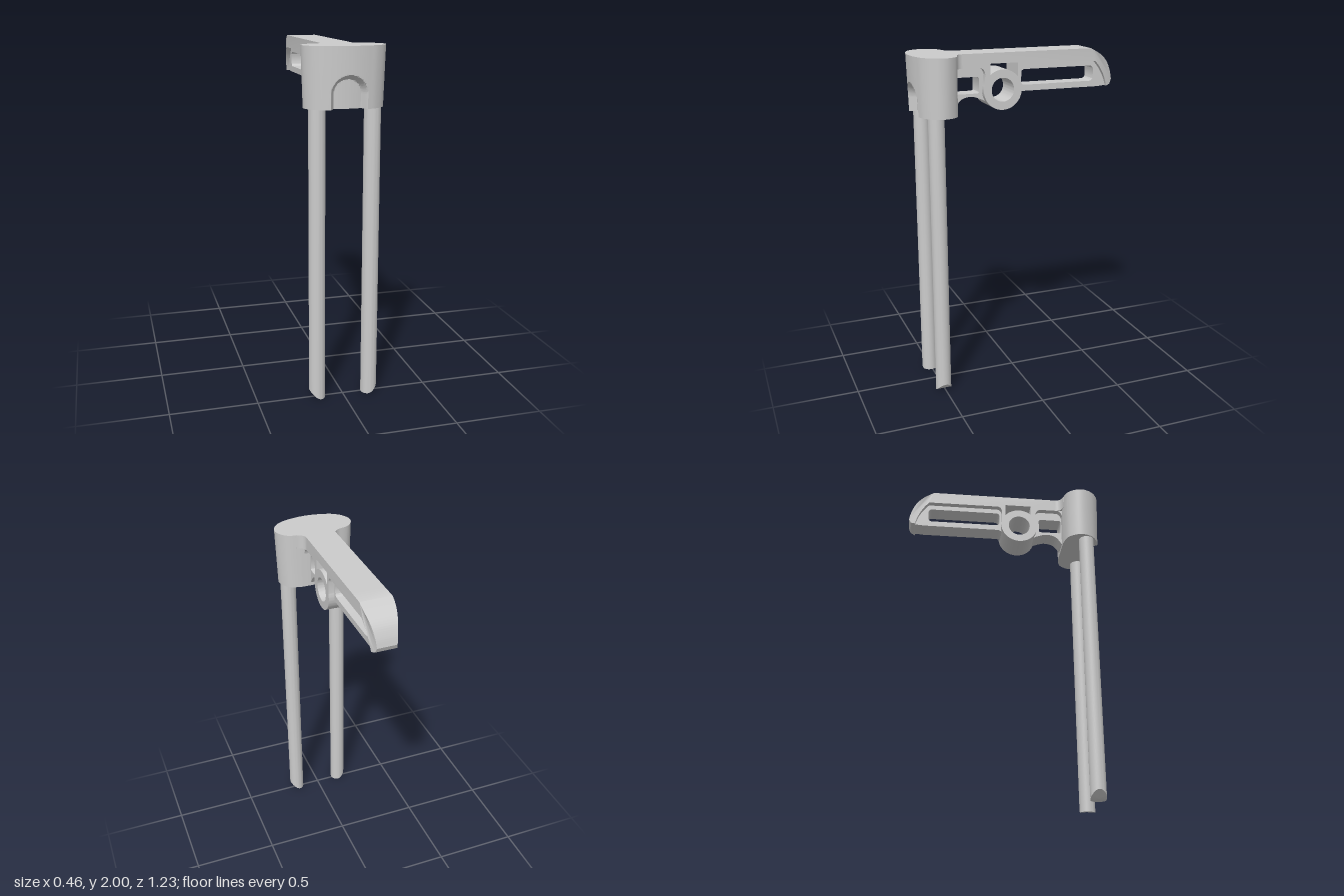
import * as THREE from 'three';
import { toCreasedNormals } from 'three/addons/utils/BufferGeometryUtils.js';

const grey = new THREE.MeshStandardMaterial({ color: 0xcccccc });
const V2 = (x, y) => new THREE.Vector2(x, y);

function addMesh(group, name, geometry, crease = 0.6) {
  const mesh = new THREE.Mesh(toCreasedNormals(geometry, crease), grey);
  mesh.name = name;
  group.add(mesh);
  return mesh;
}

// Move vertices by a rule
function warp(geometry, rule) {
  const p = geometry.attributes.position;
  const v = new THREE.Vector3();
  for (let i = 0; i < p.count; i++) {
    v.fromBufferAttribute(p, i);
    rule(v);
    p.setXYZ(i, v.x, v.y, v.z);
  }
  return geometry;
}

// Side profile (z, y) extruded across x, centred on x = 0
function sidePlate(shape, halfWidth) {
  const geo = new THREE.ExtrudeGeometry(shape, { depth: halfWidth * 2, bevelEnabled: false, curveSegments: 32 });
  return geo.translate(0, 0, -halfWidth).rotateY(-Math.PI / 2);
}

function roundedHole(z0, z1, y0, y1, r) {
  const h = new THREE.Path();
  h.absarc(z1 - r, y1 - r, r, 0, Math.PI / 2);
  h.absarc(z0 + r, y1 - r, r, Math.PI / 2, Math.PI);
  h.absarc(z0 + r, y0 + r, r, Math.PI, Math.PI * 1.5);
  h.absarc(z1 - r, y0 + r, r, Math.PI * 1.5, Math.PI * 2);
  h.closePath();
  return h;
}

// Oval head, tapered downward, with an arched pocket in the front
function headGeometry() {
  const outline = [];
  const frontSteps = 50;
  for (let i = 0; i <= frontSteps; i++) {
    const x = -0.115 + (0.23 * i) / frontSteps;
    outline.push(V2(x, 0.615 - 1.3 * x * x));
  }
  const side = new THREE.SplineCurve([
    V2(0.115, 0.598), V2(0.155, 0.584), V2(0.2, 0.55), V2(0.228, 0.5),
    V2(0.228, 0.45), V2(0.2, 0.403), V2(0.165, 0.382), V2(0.11, 0.37),
  ]).getPoints(28).slice(1);
  outline.push(...side, ...side.map((p) => V2(-p.x, p.y)).reverse().slice(0, -1));

  const levels = [];
  for (let i = 0; i <= 44; i++) levels.push(1.67 + (0.19 * i) / 44);
  levels.push(2);

  const n = outline.length, pos = [], index = [];
  for (const y of levels) {
    const t = (2 - y) / 0.33;
    for (const p of outline) {
      const x = p.x * (1 - 0.045 * t);
      let z = p.y > 0.47 ? 0.47 + (p.y - 0.47) * (1 - 0.07 * t) : p.y;
      if (p.y > 0.5) {
        const r = y < 1.75 ? Math.abs(x) : Math.hypot(x, y - 1.75);
        z -= 0.05 * THREE.MathUtils.clamp((0.1 - r) / 0.024, 0, 1);
      }
      pos.push(x, y, z);
    }
  }
  for (let j = 0; j < levels.length - 1; j++) {
    for (let i = 0; i < n; i++) {
      const a = j * n + i, b = j * n + ((i + 1) % n);
      index.push(a, b, b + n, a, b + n, a + n);
    }
  }
  // Bottom and top caps
  for (const [level, flip] of [[0, true], [levels.length - 1, false]]) {
    const start = level * n;
    const ring = outline.map((_, i) => V2(pos[(start + i) * 3], -pos[(start + i) * 3 + 2]));
    for (const [a, b, c] of THREE.ShapeUtils.triangulateShape(ring, [])) {
      index.push(start + a, start + (flip ? c : b), start + (flip ? b : c));
    }
  }
  const geo = new THREE.BufferGeometry();
  geo.setAttribute('position', new THREE.Float32BufferAttribute(pos, 3));
  geo.setIndex(index);
  return geo;
}

// Full-width rail, nose, struts and pivot ring in one profile
function frameShape() {
  const cz = 0.09, cy = 1.79, R = 0.115;
  const s = new THREE.Shape();
  s.moveTo(0.4, 2);
  for (let i = 0; i <= 8; i++) s.lineTo(0.3 - 0.095 * i, 2);
  s.splineThru([V2(-0.53, 1.96), V2(-0.575, 1.915), V2(-0.602, 1.86), V2(-0.615, 1.81)]);
  s.lineTo(-0.602, 1.782);
  s.lineTo(-0.575, 1.772);
  s.quadraticCurveTo(-0.555, 1.86, -0.49, 1.925);
  s.lineTo(-0.055, 1.925);
  s.quadraticCurveTo(-0.025, 1.925, -0.022, 1.89);
  s.absarc(cz, cy, R, Math.PI - 0.28, Math.PI * 2 + 0.28, false);
  s.lineTo(0.195, 1.88);
  s.quadraticCurveTo(0.2, 1.92, 0.235, 1.92);
  s.lineTo(0.33, 1.92);
  s.quadraticCurveTo(0.365, 1.92, 0.372, 1.87);
  s.lineTo(0.4, 1.87);
  s.closePath();

  const bore = new THREE.Path();
  bore.absarc(cz, cy, 0.068, 0, Math.PI * 2);
  const window = new THREE.Path();
  window.moveTo(0, 1.94);
  window.lineTo(0.165, 1.94);
  window.absarc(cz, cy, R, 0.859, 2.47, false);
  window.closePath();
  s.holes.push(bore, window);
  return s;
}

// Narrower webs in front of and behind the pivot ring
function frontWebShape() {
  const s = new THREE.Shape();
  s.moveTo(0.4, 1.95);
  s.lineTo(0.175, 1.95);
  s.lineTo(0.175, 1.72);
  s.splineThru([V2(0.21, 1.738), V2(0.27, 1.755), V2(0.33, 1.74), V2(0.37, 1.69)]);
  s.lineTo(0.4, 1.68);
  s.closePath();
  s.holes.push(roundedHole(0.222, 0.365, 1.772, 1.866, 0.012));
  return s;
}

function rearWebShape() {
  const s = new THREE.Shape();
  s.moveTo(-0.005, 1.95);
  s.lineTo(-0.49, 1.95);
  s.lineTo(-0.57, 1.86);
  s.lineTo(-0.59, 1.776);
  s.lineTo(-0.52, 1.77);
  s.lineTo(-0.045, 1.77);
  s.quadraticCurveTo(-0.015, 1.765, -0.005, 1.73);
  s.closePath();
  s.holes.push(roundedHole(-0.493, -0.033, 1.805, 1.895, 0.024));
  return s;
}

// Concave corner joining rail and head (plan: x, -z)
function filletGeometry() {
  const s = new THREE.Shape();
  s.moveTo(0.07, -0.325);
  s.lineTo(0.09, -0.33);
  s.quadraticCurveTo(0.092, -0.365, 0.135, -0.373);
  s.lineTo(0.135, -0.39);
  s.lineTo(0.07, -0.39);
  s.closePath();
  const geo = new THREE.ExtrudeGeometry(s, { depth: 0.08, bevelEnabled: false });
  return geo.rotateX(-Math.PI / 2).translate(0, 1.92, 0);
}

export function createModel() {
  const model = new THREE.Group();
  model.name = 'twinPinLever';

  addMesh(model, 'head', headGeometry());

  // Lever arm, narrowing toward the nose
  const arm = new THREE.Group();
  arm.name = 'leverArm';
  model.add(arm);
  const taper = (v) => {
    const t = Math.max(0, (-0.46 - v.z) / 0.155);
    v.x *= 1 - 0.38 * t * t;
  };
  addMesh(arm, 'railAndPivotRing', warp(sidePlate(frameShape(), 0.09), taper));
  addMesh(arm, 'frontWeb', sidePlate(frontWebShape(), 0.055));
  addMesh(arm, 'slottedWeb', sidePlate(rearWebShape(), 0.055));

  // Mirrored fillets and pins
  for (const side of [1, -1]) {
    const label = side > 0 ? 'left' : 'right';
    const fillet = filletGeometry();
    if (side < 0) fillet.rotateZ(Math.PI).translate(0, 3.92, 0);
    addMesh(model, label + 'Fillet', fillet);

    const pin = new THREE.CylinderGeometry(0.046, 0.046, 1.7, 40);
    pin.translate(side * 0.155, 0.85, 0.507);
    // Rounded-off outer edge at the pin tip
    warp(pin, (v) => {
      if (v.y < 0.01) v.y = 0.05 * (Math.max(0, Math.abs(v.x) - 0.13) / 0.071) ** 2;
    });
    addMesh(model, label + 'Pin', pin);
  }
  return model;
}
